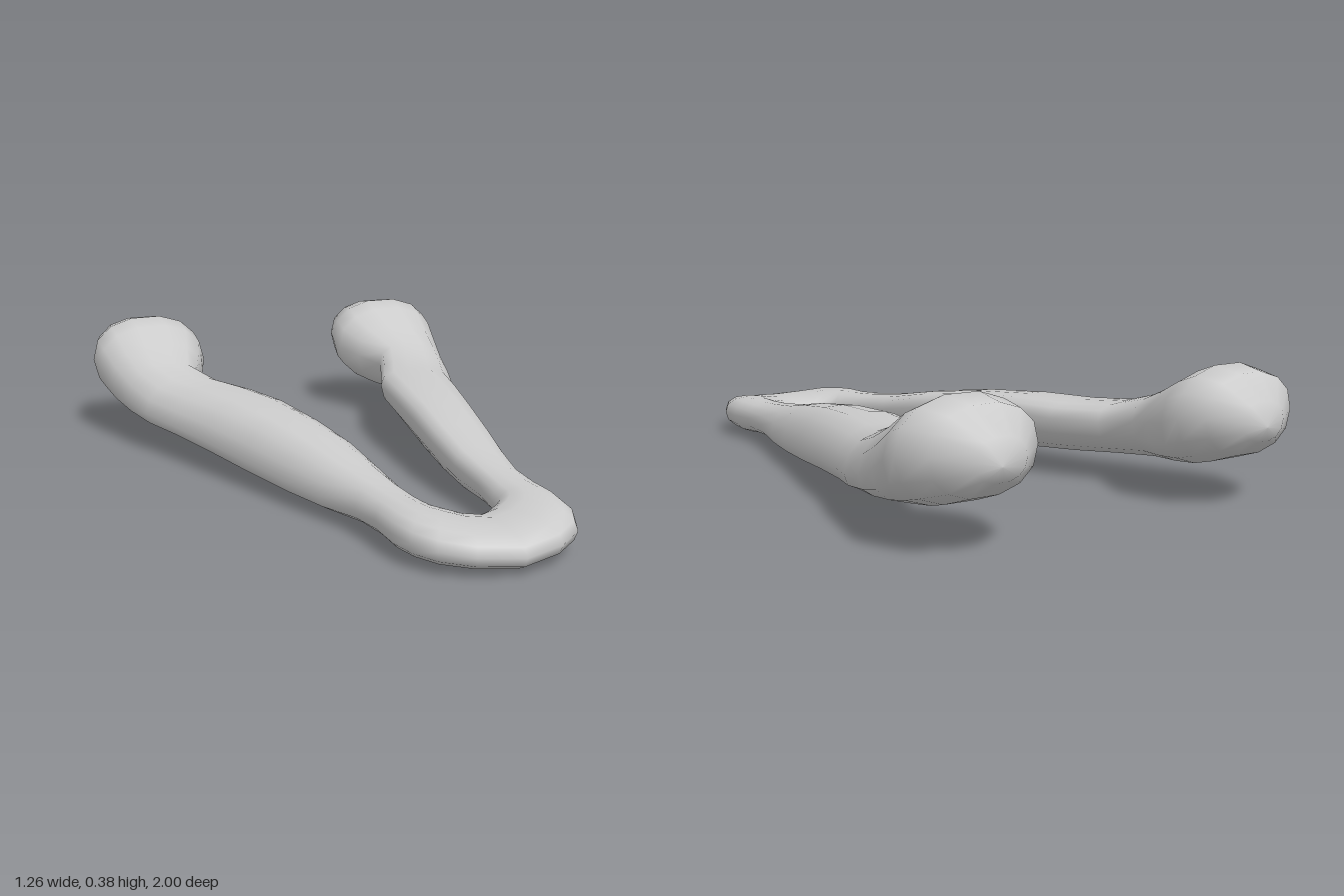
import * as THREE from 'three';

const SIDES = 14;

// Cross-sections of the left half, from the rear knob to the front bend:
// [inner x, inner z, outer x, outer z, bottom y, top y, skew]
const HALF = [
  [0.44, -1.0, 0.44, -1.0, 0.23, 0.23, 0],
  [0.36, -0.99, 0.51, -0.99, 0.19, 0.3, 0],
  [0.28, -0.93, 0.6, -0.935, 0.145, 0.37, 0],
  [0.257, -0.85, 0.632, -0.84, 0.115, 0.385, 0],
  [0.257, -0.79, 0.625, -0.78, 0.1, 0.362, 0],
  [0.29, -0.7, 0.607, -0.7, 0.09, 0.315, 0.01],
  [0.33, -0.6, 0.58, -0.6, 0.085, 0.27, 0.02],
  [0.29, -0.5, 0.55, -0.48, 0.08, 0.238, 0.025],
  [0.225, -0.36, 0.505, -0.36, 0.073, 0.23, 0.03],
  [0.187, -0.18, 0.455, -0.18, 0.063, 0.228, 0.035],
  [0.155, 0.03, 0.395, 0.03, 0.043, 0.213, 0.035],
  [0.128, 0.22, 0.345, 0.22, 0.032, 0.188, 0.03],
  [0.118, 0.38, 0.3, 0.38, 0.026, 0.16, 0.02],
  [0.117, 0.52, 0.258, 0.53, 0.03, 0.142, 0.01],
  [0.106, 0.62, 0.25, 0.64, 0.026, 0.135, 0],
  [0.1, 0.66, 0.25, 0.74, 0.018, 0.135, 0],
  [0.09, 0.675, 0.238, 0.83, 0.018, 0.132, 0],
  [0.07, 0.692, 0.2, 0.905, 0.015, 0.128, 0],
  [0.04, 0.707, 0.12, 0.962, 0.01, 0.117, 0],
];
const MIDDLE = [0, 0.715, 0, 0.995, 0.004, 0.11, 0];

// One closed, slightly squared oval ring spanning inner to outer edge
function ring([ix, iz, ox, oz, bottom, top, skew]) {
  const points = [];
  for (let j = 0; j < SIDES; j++) {
    const t = (j / SIDES) * Math.PI * 2;
    const c = Math.sign(Math.cos(t)) * Math.abs(Math.cos(t)) ** 0.88;
    const s = Math.sign(Math.sin(t)) * Math.abs(Math.sin(t)) ** 0.88;
    points.push(
      (ix + ox) / 2 + ((ox - ix) / 2) * c,
      (bottom + top) / 2 + ((top - bottom) / 2) * s - skew * c ** 3,
      (iz + oz) / 2 + ((oz - iz) / 2) * c
    );
  }
  return points;
}

// Skin a run of rings into one smooth surface
function loft(sections) {
  const index = [];
  for (let i = 0; i < sections.length - 1; i++) {
    for (let j = 0; j < SIDES; j++) {
      const k = (j + 1) % SIDES;
      const a = i * SIDES + j, b = i * SIDES + k;
      const c = a + SIDES, d = b + SIDES;
      // skip the collapsed triangles at the two end points
      if (i > 0) index.push(a, b, c);
      if (i < sections.length - 2) index.push(b, d, c);
      else if (i > 0) continue;
    }
  }
  const geometry = new THREE.BufferGeometry();
  geometry.setAttribute('position', new THREE.Float32BufferAttribute(sections.flatMap(ring), 3));
  geometry.setIndex(index);
  geometry.computeVertexNormals();
  return geometry;
}

export function createModel() {
  const group = new THREE.Group();
  group.name = 'forkedBone';

  // Left arm, front bend and mirrored right arm as one continuous skin
  const mirrored = HALF.map(([ix, iz, ox, ...rest]) => [-ix, iz, -ox, ...rest]).reverse();
  const bone = new THREE.Mesh(
    loft([...HALF, MIDDLE, ...mirrored]),
    new THREE.MeshStandardMaterial({ color: 0xcccccc })
  );
  bone.name = 'bone';
  group.add(bone);
  return group;
}
